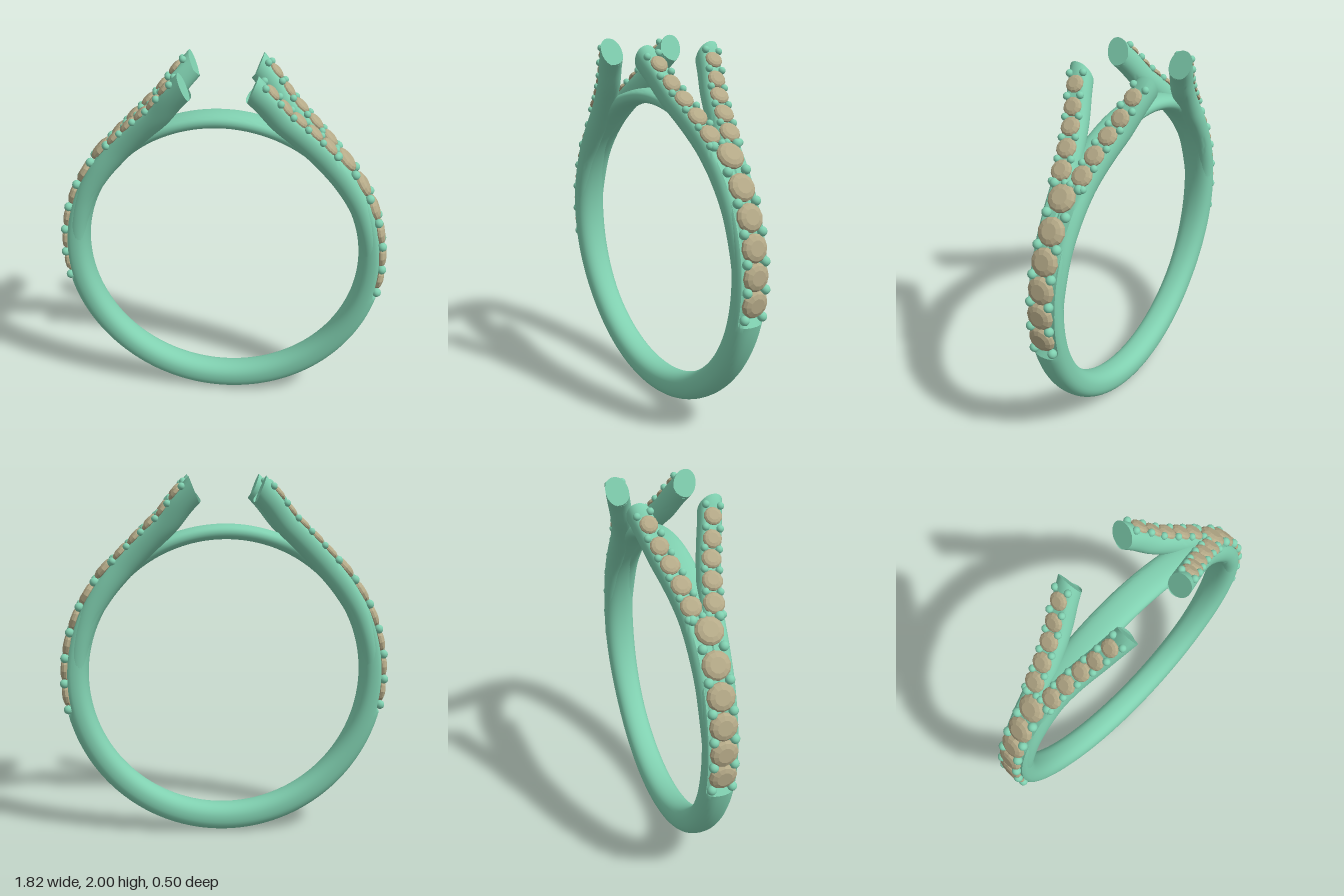
import * as THREE from 'three';
import { toCreasedNormals } from 'three/addons/utils/BufferGeometryUtils.js';

const CENTRE_Y = 0.905, INNER_R = 0.755, SIDES = 32;
const Z = new THREE.Vector3(0, 0, 1);
const metal = new THREE.MeshStandardMaterial({ color: 0x80d0b0 });
const stone = new THREE.MeshStandardMaterial({ color: 0xb5aa88, flatShading: true });
const { lerp, smoothstep } = THREE.MathUtils;

// Rounded section around a station; the outer side is cut flat at "cap"
function ring({ c, u, w, ht, hw, cap, power }) {
  const soft = v => Math.sign(v) * Math.pow(Math.abs(v), 2 / power);
  return Array.from({ length: SIDES }, (_, j) => {
    const a = j / SIDES * Math.PI * 2;
    return c.clone()
      .addScaledVector(u, Math.min(soft(Math.cos(a)) * ht, cap))
      .addScaledVector(w, soft(Math.sin(a)) * hw);
  });
}

// Skin a list of rings, either as a loop or with end caps
function skin(rings, closed) {
  const pos = [], idx = [], n = rings.length;
  rings.flat().forEach(p => pos.push(p.x, p.y, p.z));
  for (let i = 0; i < (closed ? n : n - 1); i++) {
    for (let j = 0; j < SIDES; j++) {
      const k = (j + 1) % SIDES, a = i * SIDES, b = ((i + 1) % n) * SIDES;
      idx.push(a + j, b + j, a + k, b + j, b + k, a + k);
    }
  }
  if (!closed) {
    [0, n - 1].forEach((i, end) => {
      const m = new THREE.Vector3();
      rings[i].forEach(p => m.addScaledVector(p, 1 / SIDES));
      const mid = pos.length / 3;
      pos.push(m.x, m.y, m.z);
      for (let j = 0; j < SIDES; j++) {
        const a = i * SIDES + j, b = i * SIDES + (j + 1) % SIDES;
        if (end) idx.push(mid, b, a); else idx.push(mid, a, b);
      }
    });
  }
  const g = new THREE.BufferGeometry();
  g.setAttribute('position', new THREE.Float32BufferAttribute(pos, 3));
  g.setIndex(idx);
  return toCreasedNormals(g, 0.6);
}

// Full finger band: thick below, recessed under the stones, thin on top
function bandGeometry() {
  const N = 180, rings = [];
  for (let i = 0; i < N; i++) {
    const a = i / N * Math.PI * 2, d = Math.min(a, Math.PI * 2 - a);
    const u = new THREE.Vector3(Math.sin(a), -Math.cos(a), 0);
    const t = lerp(lerp(0.152, 0.143, smoothstep(d, 0, 1.4)), 0.082, smoothstep(d, 1.9, 2.9));
    const c = u.clone().multiplyScalar(INNER_R + t / 2);
    c.y += CENTRE_Y;
    const hw = 0.08 + 0.009 * smoothstep(d, 0.7, 1.5) - 0.007 * smoothstep(d, 1.9, 2.8);
    const cap = d > 1.34 ? Math.min(t / 2, 0.11 - t / 2) : t;
    rings.push(ring({ c, u, w: Z, ht: t / 2, hw, cap, power: 2.3 }));
  }
  return skin(rings, true);
}

// Centre line of one arm of the split shoulder
function armCurve(side) {
  const low = [[-0.2, 0.03], [0.1, 0.034], [0.4, 0.037], [0.63, 0.042]].map(([a, z]) =>
    [0.817 * Math.cos(a), CENTRE_Y + 0.817 * Math.sin(a), z]);
  const high = [[0.553, 1.518, 0.052], [0.473, 1.602, 0.07], [0.394, 1.68, 0.095],
    [0.314, 1.758, 0.125], [0.235, 1.86, 0.16], [0.172, 1.93, 0.185]];
  return new THREE.CatmullRomCurve3([...low, ...high].map(([x, y, z]) =>
    new THREE.Vector3(x, y, z * side)));
}

function armFrame(curve, f) {
  const t = curve.getTangentAt(f);
  const u = t.clone().cross(Z).normalize();
  return { c: curve.getPointAt(f), t, u, w: u.clone().cross(t) };
}

function armGeometry(curve) {
  const N = 60, rings = [];
  for (let i = 0; i <= N; i++) {
    const f = i / N, fr = armFrame(curve, f);
    const hw = lerp(0.045, 0.06, smoothstep(f, 0, 0.3));
    const ht = lerp(0.05, 0.0675, smoothstep(f, 0.1, 0.65));
    rings.push(ring({ ...fr, ht, hw, cap: f > 0.975 ? ht : 0.053, power: 2.1 }));
  }
  // Slanted cut at the tip
  const { c, t } = armFrame(curve, 1), n = new THREE.Vector3(0.93, -0.365, 0);
  rings[N].forEach(p => p.addScaledVector(t, c.clone().sub(p).dot(n) / t.dot(n)));
  return skin(rings, false);
}

const gemGeometry = new THREE.LatheGeometry(
  [[0, -0.45], [1, -0.12], [1, 0.05], [0.86, 0.22], [0.55, 0.34], [0, 0.34]]
    .map(([x, y]) => new THREE.Vector2(x, y)), 12);
const beadGeometry = new THREE.SphereGeometry(1, 16, 12);

function add(parent, name, geometry, material, p, size = 1, up) {
  const m = new THREE.Mesh(geometry, material);
  m.name = name;
  if (p) m.position.copy(p);
  if (up) m.quaternion.setFromUnitVectors(new THREE.Vector3(0, 1, 0), up);
  m.scale.setScalar(size);
  parent.add(m);
}

// One shoulder: split arms, stones and bead prongs
function shoulder() {
  const g = new THREE.Group();
  const radial = a => new THREE.Vector3(Math.cos(a), Math.sin(a), 0);
  const at = (a, r, z) => radial(a).multiplyScalar(r).add(new THREE.Vector3(0, CENTRE_Y, z));

  [-0.107, 0.053, 0.215, 0.383, 0.555, 0.745].forEach((a, i) =>
    add(g, 'largeStone', gemGeometry, stone, at(a, 0.88 + (i === 5 ? 0.006 : 0), 0), 0.073, radial(a)));
  [-0.195, -0.027, 0.134, 0.299, 0.469, 0.65, 0.815].forEach((a, i) => [-1, 1].forEach(s =>
    add(g, 'beadProng', beadGeometry, metal, at(a, 0.884, s * (i === 6 ? 0.07 : 0.054)), 0.025)));

  [-1, 1].forEach(side => {
    const curve = armCurve(side), length = curve.getLength();
    add(g, 'splitArm', armGeometry(curve), metal);
    for (let i = 0; i < 5; i++) {
      const fr = armFrame(curve, 1 - (0.078 + i * 0.112) / length);
      add(g, 'smallStone', gemGeometry, stone,
        fr.c.clone().addScaledVector(fr.u, 0.061), 0.046 + i * 0.0022, fr.u);
    }
    for (let i = 0; i < 6; i++) {
      const fr = armFrame(curve, 1 - (0.022 + i * 0.112) / length);
      [-1, 1].forEach(s => add(g, 'beadProng', beadGeometry, metal,
        fr.c.clone().addScaledVector(fr.u, 0.06).addScaledVector(fr.w, s * 0.037), 0.019));
    }
  });
  return g;
}

export function createModel() {
  const model = new THREE.Group();
  model.name = 'splitShoulderRing';
  add(model, 'band', bandGeometry(), metal);
  ['leftShoulder', 'rightShoulder'].forEach((name, i) => {
    const s = shoulder();
    s.name = name;
    s.rotation.y = i * Math.PI;
    model.add(s);
  });
  return model;
}
